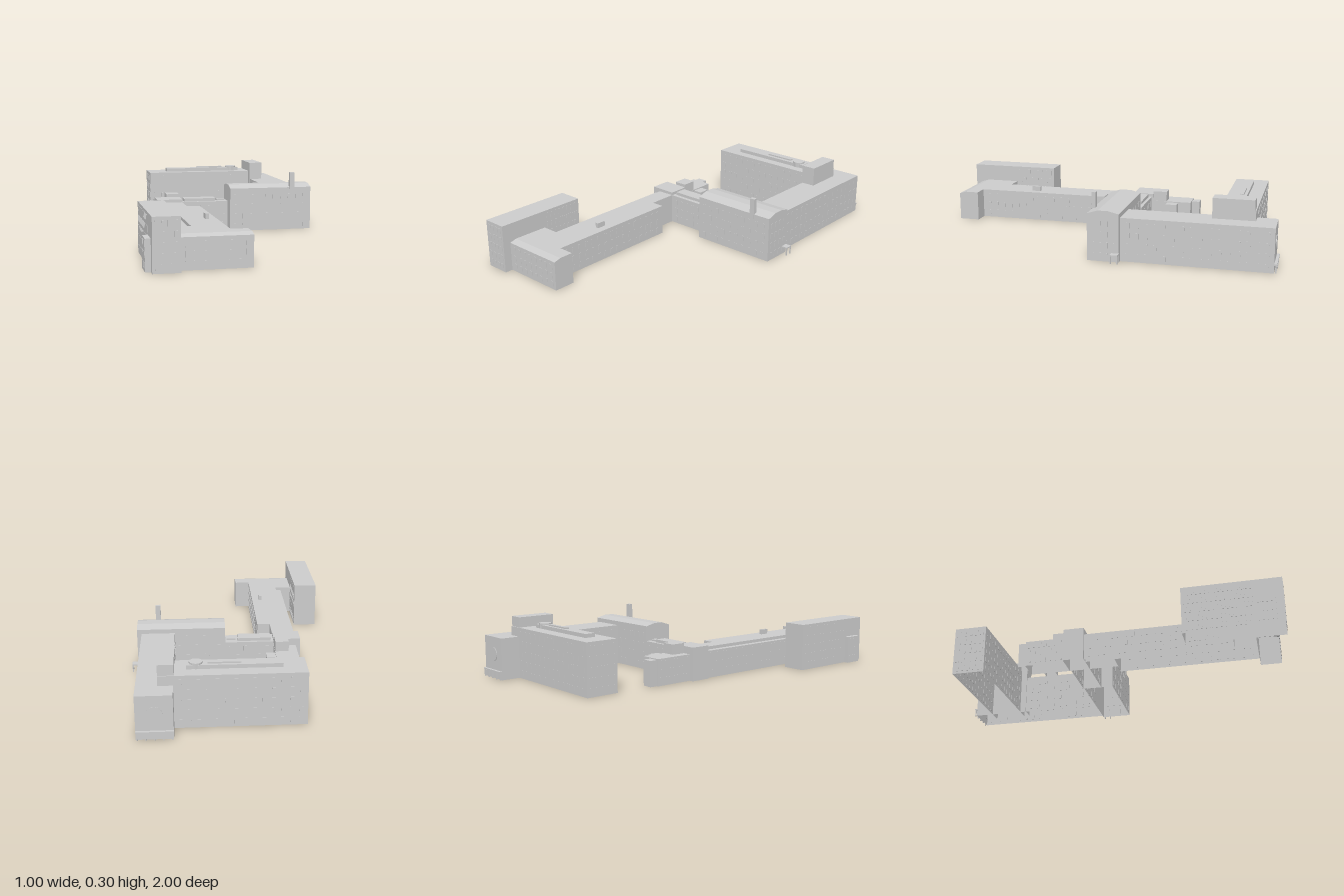
import * as THREE from 'three';
import { mergeGeometries } from 'three/addons/utils/BufferGeometryUtils.js';

const material = new THREE.MeshStandardMaterial({
  color: 0xcccccc, flatShading: true, side: THREE.DoubleSide,
});

// Open-bottomed block spanning a0..a1 (x), b0..b1 (z), base..top (y).
// An array for top gives roof heights at even steps from b0 to b1.
function blockGeometry(a0, a1, b0, b1, top, base = 0) {
  const heights = Array.isArray(top) ? top : [top, top];
  const n = heights.length - 1;
  const g = new THREE.BoxGeometry(a1 - a0, 1, b1 - b0, 1, 1, n);
  const p = g.attributes.position;
  for (let i = 0; i < p.count; i++) {
    const step = Math.round((p.getZ(i) / (b1 - b0) + 0.5) * n);
    p.setY(i, p.getY(i) > 0 ? heights[step] : base);
  }
  // drop the floor
  const index = Array.from(g.index.array);
  index.splice(18 * n, 6 * n);
  g.setIndex(index);
  g.clearGroups();
  g.translate((a0 + a1) / 2, 0, (b0 + b1) / 2);
  g.computeVertexNormals();
  return g;
}

// Rows of shallow panes on one wall. axis 'x': wall at x = at, running along z.
function windowGeometry(axis, at, from, to, cols, rows, floor, w, h) {
  const panes = [];
  const pitch = (to - from) / cols;
  for (let r = 0; r < rows; r++) {
    for (let c = 0; c < cols; c++) {
      const s = from + (c + 0.5) * pitch;
      const y = 0.027 + r * floor;
      const g = axis === 'x'
        ? new THREE.BoxGeometry(0.003, h, w)
        : new THREE.BoxGeometry(w, h, 0.003);
      g.translate(axis === 'x' ? at : s, y, axis === 'x' ? s : at);
      panes.push(g);
    }
  }
  return mergeGeometries(panes);
}

export function createModel() {
  const model = new THREE.Group();
  model.name = 'buildingComplex';
  const site = new THREE.Group();
  site.name = 'site';
  site.rotation.y = THREE.MathUtils.degToRad(22.6);
  model.add(site);

  const add = (name, geometry) => {
    const mesh = new THREE.Mesh(geometry, material);
    mesh.name = name;
    site.add(mesh);
    return mesh;
  };

  // Main volumes: name, a0, a1, b0, b1, top, base
  const blocks = [
    ['northWing', -0.229, 0.424, -0.765, -0.6, 0.25],
    ['northRoofPlant', -0.125, 0.3, -0.7, -0.648, 0.268, 0.25],
    ['northRoofDuct', 0.058, 0.207, -0.685, -0.667, 0.275, 0.268],
    ['stairTower', 0.352, 0.424, -0.76, -0.569, 0.3],
    ['eastWing', 0.357, 0.52, -0.86, -0.165, 0.205],
    ['eastBlock', 0.108, 0.542, -0.165, -0.015, [0.226, 0.238, 0.238, 0.222]],
    ['chimney', 0.428, 0.453, -0.032, -0.012, 0.3, 0.2],
    ['connector', -0.135, 0.108, -0.17, -0.075, 0.15],
    ['connectorRoofBox', -0.12, 0.045, -0.155, -0.095, 0.165, 0.15],
    ['connectorRoofHatch', 0.055, 0.1, -0.14, -0.11, 0.158, 0.15],
    ['cornerBlock', -0.265, -0.133, -0.178, -0.075, 0.165],
    ['westBlock', -0.243, -0.133, -0.376, -0.178, 0.13],
    ['westRoofBox', -0.2, -0.134, -0.25, -0.178, 0.18, 0.12],
    ['westEndStub', -0.235, -0.185, -0.415, -0.376, 0.125],
    ['westSideStub', -0.133, -0.087, -0.311, -0.253, 0.125],
    ['southNeck', -0.222, -0.135, -0.075, 0.07, 0.15],
    ['southWing', -0.222, -0.07, 0.07, 0.755, 0.15],
    ['southCorridor', -0.252, -0.222, -0.075, 0.65, 0.135],
    ['southRoofVent', -0.124, -0.108, 0.44, 0.485, 0.175, 0.15],
    ['southEndBlock', -0.308, 0.008, 0.755, 0.858, [0.15, 0.15, 0.15, 0.14]],
    ['southLink', -0.308, -0.222, 0.65, 0.755, 0.15],
    ['southTower', -0.427, -0.308, 0.43, 0.897, 0.235],
    ['southTowerStub', -0.452, -0.427, 0.77, 0.86, 0.14],
  ];
  for (const [name, ...dims] of blocks) add(name, blockGeometry(...dims));

  // Windows: name, axis, wall, from, to, columns, rows, floor height, width, height
  const windows = [
    ['northWingFrontWindows', 'z', -0.6, -0.22, 0.35, 14, 5, 0.048, 0.016, 0.026],
    ['northWingBackWindows', 'z', -0.765, -0.22, 0.35, 14, 5, 0.048, 0.016, 0.026],
    ['northWingEndWindows', 'x', -0.229, -0.76, -0.605, 5, 5, 0.048, 0.02, 0.028],
    ['eastWingOuterWindows', 'x', 0.52, -0.85, -0.18, 16, 4, 0.048, 0.016, 0.026],
    ['eastWingInnerWindows', 'x', 0.357, -0.56, -0.18, 9, 4, 0.048, 0.016, 0.026],
    ['eastBlockFrontWindows', 'z', -0.015, 0.12, 0.53, 10, 4, 0.05, 0.018, 0.026],
    ['eastBlockBackWindows', 'z', -0.165, 0.12, 0.35, 6, 4, 0.05, 0.018, 0.026],
    ['eastBlockSideWindows', 'x', 0.542, -0.155, -0.025, 4, 4, 0.05, 0.016, 0.026],
    ['connectorFrontWindows', 'z', -0.075, -0.12, 0.1, 6, 3, 0.045, 0.016, 0.026],
    ['connectorBackWindows', 'z', -0.17, -0.12, 0.1, 6, 3, 0.045, 0.016, 0.026],
    ['westBlockWindows', 'x', -0.243, -0.37, -0.185, 7, 3, 0.04, 0.014, 0.026],
    ['corridorWindows', 'x', -0.252, -0.06, 0.64, 20, 3, 0.042, 0.016, 0.026],
    ['southWingWindows', 'x', -0.07, 0.09, 0.74, 16, 3, 0.045, 0.016, 0.026],
    ['southEndFrontWindows', 'z', 0.858, -0.295, 0, 8, 3, 0.042, 0.016, 0.026],
    ['southTowerOuterWindows', 'x', -0.427, 0.44, 0.76, 18, 5, 0.045, 0.012, 0.028],
    ['southTowerInnerWindows', 'x', -0.308, 0.44, 0.64, 8, 5, 0.045, 0.014, 0.026],
    ['southTowerEndWindows', 'z', 0.897, -0.42, -0.315, 4, 5, 0.045, 0.016, 0.026],
    ['southTowerStubWindows', 'x', -0.452, 0.775, 0.855, 4, 3, 0.045, 0.012, 0.026],
  ];
  for (const [name, ...dims] of windows) add(name, windowGeometry(...dims));

  // Round cap on the north roof
  add('northRoofCap', new THREE.CylinderGeometry(0.03, 0.03, 0.026, 12))
    .position.set(0.258, 0.263, -0.672);

  // Round window high on the end of the east wing
  const rose = add('roundWindow', new THREE.CylinderGeometry(0.035, 0.035, 0.004, 20));
  rose.rotation.x = Math.PI / 2;
  rose.position.set(0.438, 0.12, -0.861);

  // Porch at the end of the east wing
  add('porchRoof', new THREE.BoxGeometry(0.163, 0.006, 0.014)).position.set(0.4385, 0.039, -0.866);
  for (let i = 0; i < 5; i++) {
    add('porchPost', new THREE.BoxGeometry(0.006, 0.036, 0.006))
      .position.set(0.362 + i * 0.038, 0.018, -0.868);
  }

  // Small side canopy on two posts
  add('canopyRoof', new THREE.BoxGeometry(0.032, 0.006, 0.036)).position.set(0.557, 0.039, -0.148);
  for (const z of [-0.163, -0.133]) {
    add('canopyPost', new THREE.BoxGeometry(0.005, 0.036, 0.005)).position.set(0.57, 0.018, z);
  }

  return model;
}
